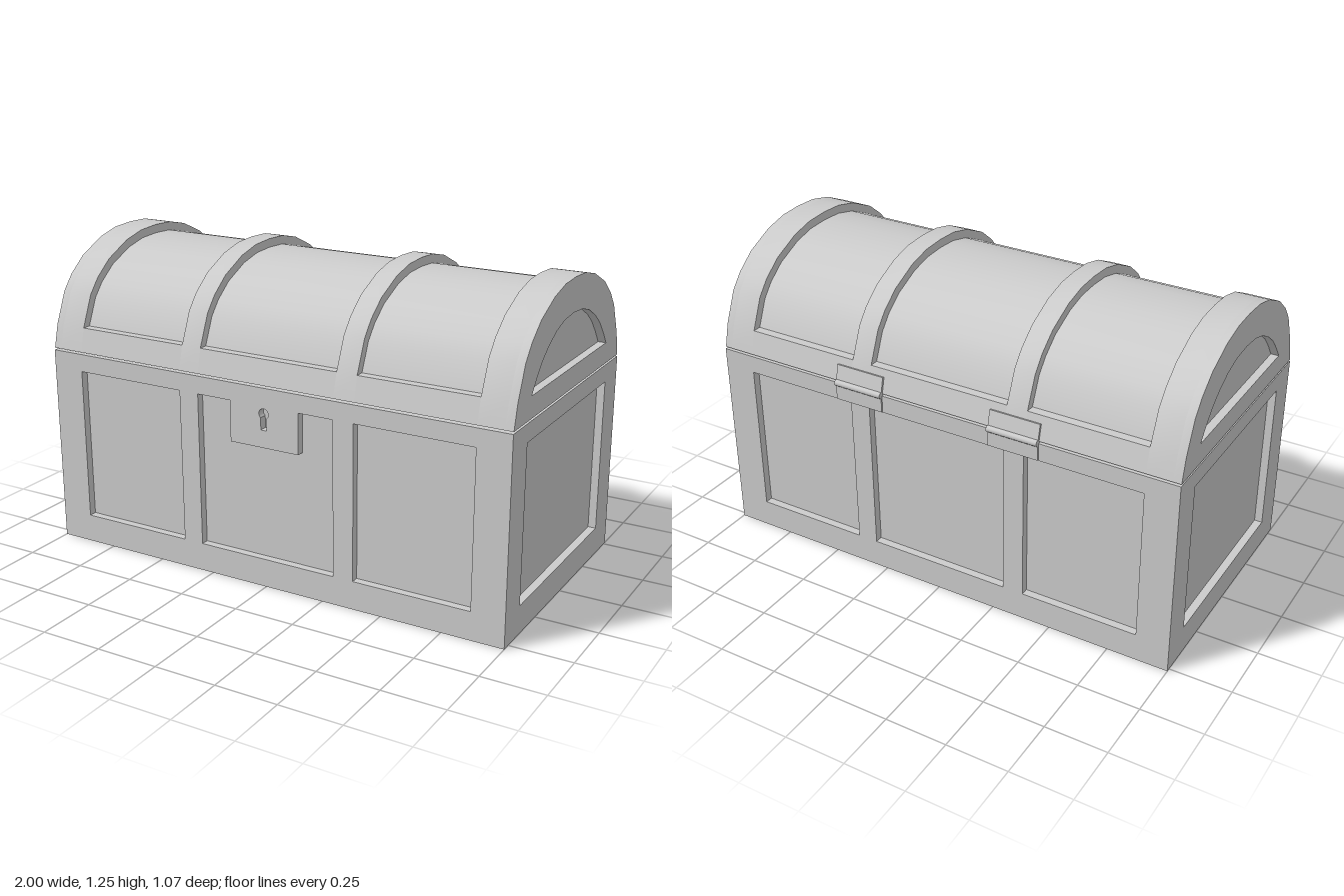
import * as THREE from 'three';
import { toCreasedNormals } from 'three/addons/utils/BufferGeometryUtils.js';

const HALF = 0.525;   // half depth of the chest
const T = 0.032;      // depth of the recessed panels
const SEAM = 0.82;    // bottom of the lid
const BASE_TOP = 0.812;

// Half of the lid's outer arch, from seam to crown: [depth, height]
const ARCH = [[0.522, SEAM], [0.498, 0.915], [0.444, 1.04], [0.395, 1.1], [0.318, 1.162],
  [0.2, 1.217], [0.1, 1.241], [0, 1.246]];
// Half of the recessed arch in the lid's ends
const END_ARCH = [[0.375, 0.905], [0.335, 0.957], [0.285, 1.01], [0.235, 1.047],
  [0.165, 1.085], [0.09, 1.107], [0, 1.114]];

const vec = (pts) => pts.map(([x, y]) => new THREE.Vector2(x, y));
const rect = (x0, y0, x1, y1) => [[x0, y0], [x1, y0], [x1, y1], [x0, y1]];
const mirrored = (half) => [...half, ...half.slice(0, -1).reverse().map(([x, y]) => [-x, y])];

export function createModel() {
  const chest = new THREE.Group();
  chest.name = 'chest';
  chest.position.z = 0.01;
  const grey = new THREE.MeshStandardMaterial({ color: 0xcccccc });
  grey.name = 'grey';

  function add(name, geometry, parent = chest) {
    const mesh = new THREE.Mesh(geometry, grey);
    mesh.name = name;
    parent.add(mesh);
    return mesh;
  }

  // Extruded outline with holes; the outer face lies on local z = 0
  function plate(outline, holes = [], depth = T) {
    const shape = new THREE.Shape(vec(outline));
    for (const h of holes) shape.holes.push(h instanceof THREE.Path ? h : new THREE.Path(vec(h)));
    const geo = new THREE.ExtrudeGeometry(shape, { depth, bevelEnabled: false, curveSegments: 10 });
    geo.translate(0, 0, -depth);
    return toCreasedNormals(geo, 0.5);
  }

  // Slice of a cross-section between two x positions
  function slice(name, outline, x0, x1, holes = []) {
    const geo = plate(outline, holes, x1 - x0);
    geo.rotateY(Math.PI / 2).translate(x1, 0, 0);
    return add(name, geo);
  }

  // Base: solid core with framed faces laid over it
  add('baseCore', new THREE.BoxGeometry(2 - 2 * T, 0.83 - T, 2 * (HALF - T)).translate(0, (0.83 + T) / 2, 0));

  const columns = [[-0.865, -0.383], [-0.298, 0.298], [0.383, 0.865]];
  const [panelLow, panelHigh] = [0.115, 0.74];
  const panels = columns.map(([a, b]) => rect(a, panelLow, b, panelHigh));
  const faceOutline = rect(-1, 0, 1, BASE_TOP);

  // Front frame: the middle panel is notched around the lock plate
  const lockPanel = [[-0.298, panelLow], [0.298, panelLow], [0.298, panelHigh], [0.15, panelHigh],
    [0.15, 0.575], [-0.15, 0.575], [-0.15, panelHigh], [-0.298, panelHigh]];
  const keyhole = new THREE.Path();
  keyhole.moveTo(-0.013, 0.645);
  keyhole.lineTo(0.013, 0.645);
  keyhole.absarc(0, 0.71, 0.021, -0.9, Math.PI + 0.9, false);
  keyhole.closePath();
  add('frontFrame', plate(faceOutline, [panels[0], lockPanel, panels[2], keyhole])).position.z = HALF;

  const back = add('backFrame', plate(faceOutline, panels));
  back.rotation.y = Math.PI;
  back.position.z = -HALF;

  const inner = HALF - T;
  for (const side of [1, -1]) {
    const frame = add(side > 0 ? 'leftFrame' : 'rightFrame',
      plate(rect(-inner, 0, inner, BASE_TOP), [rect(-0.395, panelLow, 0.395, panelHigh)]));
    frame.rotation.y = side * Math.PI / 2;
    frame.position.x = side;
  }

  const bottom = add('bottomFrame', plate(rect(-1 + T, -inner, 1 - T, inner),
    columns.map(([a, b]) => rect(a, -0.395, b, 0.395))));
  bottom.rotation.x = Math.PI / 2;

  // Lid: recessed vault, raised bands, rims and framed ends
  const outer = mirrored(ARCH);
  const vault = outer.map(([z, y]) => [z * 0.935, SEAM + (y - SEAM) * 0.918]);
  slice('lidVault', vault, -0.865, 0.865);
  slice('lidBand', outer, -0.383, -0.298);
  slice('lidBand', outer, 0.298, 0.383);
  slice('lidEndBand', outer, -1 + T, -0.865);
  slice('lidEndBand', outer, 0.865, 1 - T);
  const endHole = mirrored(END_ARCH);
  slice('lidEndFrame', outer, 1 - T, 1, [endHole]);
  slice('lidEndFrame', outer, -1, -1 + T, [endHole]);
  for (const [a, b] of columns) {
    for (const s of [1, -1]) {
      slice('lidRim', [[s * 0.44, SEAM], [s * 0.522, SEAM], [s * 0.498, 0.915], [s * 0.44, 0.915]], a, b);
    }
  }

  // Hinges on the back
  for (const x of [-0.34, 0.34]) {
    const hinge = new THREE.Group();
    hinge.name = 'hinge';
    hinge.position.set(x, SEAM - 0.004, -HALF);
    chest.add(hinge);
    add('hingeBarrel', new THREE.CylinderGeometry(0.013, 0.013, 0.21, 12).rotateZ(Math.PI / 2), hinge)
      .position.z = -0.006;
    add('hingeLowerLeaf', new THREE.BoxGeometry(0.21, 0.07, 0.014), hinge).position.set(0, -0.037, 0);
    const upper = add('hingeUpperLeaf', new THREE.BoxGeometry(0.21, 0.068, 0.014), hinge);
    upper.position.set(0, 0.036, 0.009);
    upper.rotation.x = 0.235;
  }

  const model = new THREE.Group();
  model.name = 'treasureChest';
  model.add(chest);
  return model;
}
